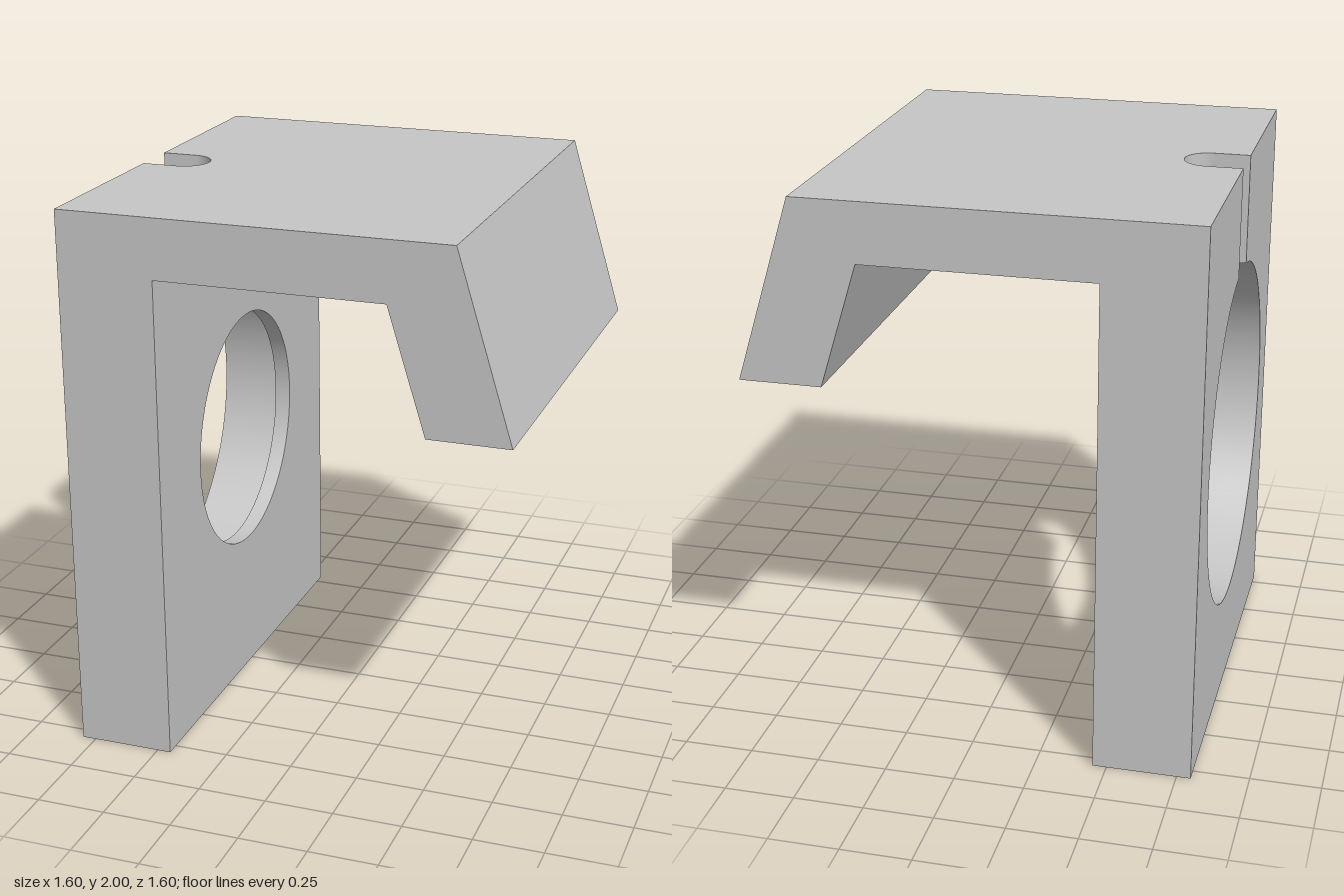
import * as THREE from 'three';

const D = 0.8;                                 // half depth along z
const OUT = -0.8, LEDGE = -0.51, IN = -0.45;   // x of outer face, bore floor, inner face
const CY = 0.98, R = 0.63, r = 0.45;           // bore centre height, bore and hole radii
const W = 0.09, SLOT = -0.67;                  // slot half width, centre of its round end
const TOP = 2, UNDER = 1.785;

const v = (x, y, z) => new THREE.Vector3(x, y, z);
const p = (x, y) => new THREE.Vector2(x, y);
const range = (n, a, b) => Array.from({ length: n + 1 }, (_, i) => a + (b - a) * i / n);
const onBore = (x, t, rad = R) => v(x, CY + rad * Math.cos(t), rad * Math.sin(t));

// Surface ruled between two equally long paths
function ruled(a, b) {
  const geo = new THREE.BufferGeometry().setFromPoints(a.flatMap((q, i) => [q, b[i]]));
  const index = [];
  for (let i = 0; i < a.length - 1; i++) {
    const k = 2 * i;
    index.push(k, k + 1, k + 3, k, k + 3, k + 2);
  }
  geo.setIndex(index);
  geo.computeVertexNormals();
  return geo;
}

function flat(points, holeRadius) {
  const shape = new THREE.Shape(points);
  if (holeRadius) shape.holes.push(new THREE.Path().absarc(0, CY, holeRadius, 0, Math.PI * 2, true));
  return new THREE.ShapeGeometry(shape, 48);
}

export function createModel() {
  const group = new THREE.Group();
  const grey = new THREE.MeshStandardMaterial({ color: 0xc6c6c6 });
  grey.name = 'light grey';
  grey.side = THREE.DoubleSide;
  const add = (name, geo) => {
    const mesh = new THREE.Mesh(geo, grey);
    mesh.name = name;
    group.add(mesh);
  };

  // Hooked bracket profile, counter-clockwise
  const profile = [p(OUT, 0), p(IN, 0), p(IN, UNDER), p(0.37, UNDER),
    p(0.505, 1.34), p(0.8, 1.34), p(0.6, TOP), p(OUT, TOP)];
  add('frontEnd', flat(profile).translate(0, 0, D));
  add('backEnd', flat(profile.map(q => p(-q.x, q.y))).rotateY(Math.PI).translate(0, 0, -D));

  // Plain flat sides of the profile
  const sides = { wallFoot: 0, ceiling: 2, lipInside: 3, lipFoot: 4, lipOutside: 5 };
  for (const [name, i] of Object.entries(sides)) {
    const edge = [profile[i], profile[i + 1]];
    add(name, ruled(edge.map(q => v(q.x, q.y, D)), edge.map(q => v(q.x, q.y, -D))));
  }

  // Top face with the round-ended slot
  const round = range(24, -Math.PI / 2, Math.PI / 2)
    .map(u => p(SLOT + W * Math.cos(u), W * Math.sin(u)));
  const slotPath = [p(OUT, -W), ...round, p(OUT, W)];
  add('topFace', flat([p(OUT, -D), ...slotPath.map(q => q.clone()), p(OUT, D), p(0.6, D), p(0.6, -D)])
    .rotateX(-Math.PI / 2).translate(0, TOP, 0));

  // Outer wall face: bore opening joined to the slot
  const t0 = Math.asin(W / R);
  const angles = range(96, t0, Math.PI * 2 - t0);
  const opening = angles.map(t => p(R * Math.sin(t), CY + R * Math.cos(t)));
  add('outerWallFace', flat([p(-D, 0), p(D, 0), p(D, TOP), p(W, TOP), ...opening, p(-W, TOP), p(-D, TOP)])
    .rotateY(-Math.PI / 2).translate(OUT, 0, 0));

  // Inner wall face with the through hole
  add('innerWallFace', flat([p(-D, 0), p(D, 0), p(D, UNDER), p(-D, UNDER)], r)
    .rotateY(Math.PI / 2).translate(IN, 0, 0));

  // Slot walls run down to meet the bore
  add('slotWall', ruled(slotPath.map(q => v(q.x, TOP, q.y)),
    slotPath.map(q => v(q.x, CY + Math.sqrt(R * R - q.y * q.y), q.y))));

  // Wide bore, its edge cut back where the slot enters
  const rim = [...round.map(q => [q.x, Math.asin(q.y / R)]), ...angles.map(t => [OUT, t])];
  add('boreWall', ruled(rim.map(([x, t]) => onBore(x, t)), rim.map(([, t]) => onBore(LEDGE, t))));

  // Ledge ring and the narrower through hole
  add('boreLedge', new THREE.RingGeometry(r, R, 96).rotateY(-Math.PI / 2).translate(LEDGE, CY, 0));
  const turn = range(96, 0, Math.PI * 2);
  add('holeWall', ruled(turn.map(t => onBore(LEDGE, t, r)), turn.map(t => onBore(IN, t, r))));

  return group;
}
